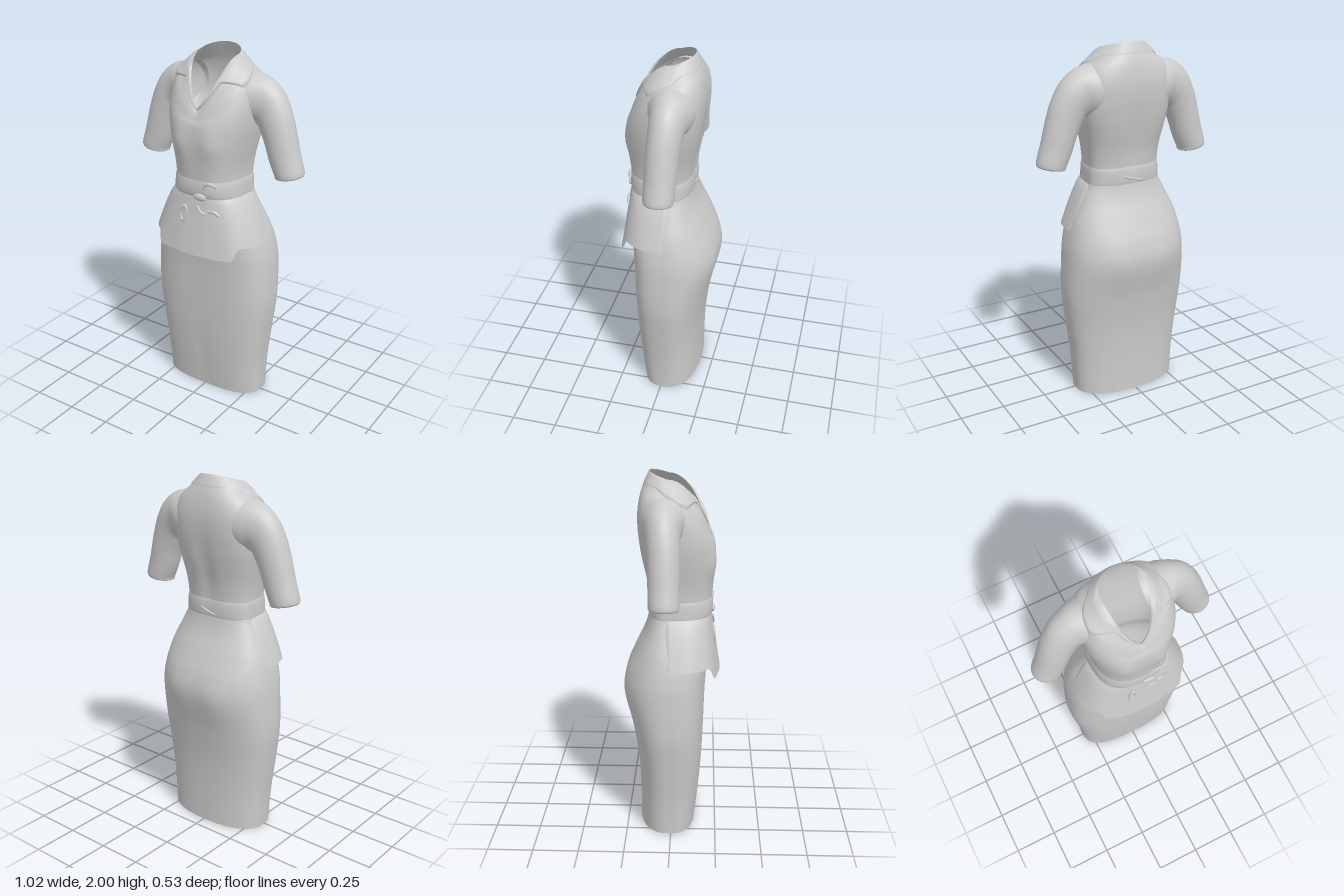
import * as THREE from 'three';

const { smoothstep, lerp } = THREE.MathUtils;
const spow = (a, e) => Math.sign(a) * Math.pow(Math.abs(a), e);
const material = new THREE.MeshStandardMaterial({ color: 0xcccccc, side: THREE.DoubleSide });

// Smooth surface from a rule f(u, v) -> Vector3, u and v in 0..1; closed joins the u seam
function sheet(name, f, nu, nv, closed = false) {
  const cols = closed ? nu : nu + 1, pos = [], idx = [];
  for (let j = 0; j <= nv; j++)
    for (let i = 0; i < cols; i++) pos.push(...f(i / nu, j / nv).toArray());
  for (let j = 0; j < nv; j++)
    for (let i = 0; i < nu; i++) {
      const a = j * cols + i, b = j * cols + (i + 1) % cols, c = a + cols, d = b + cols;
      idx.push(a, c, b, b, c, d);
    }
  const g = new THREE.BufferGeometry();
  g.setAttribute('position', new THREE.Float32BufferAttribute(pos, 3));
  g.setIndex(idx);
  g.computeVertexNormals();
  const mesh = new THREE.Mesh(g, material);
  mesh.name = name;
  return mesh;
}

// Catmull-Rom blend of every column of a table at row position r
function sampleRows(rows, r) {
  const n = rows.length - 1, i = Math.min(Math.floor(r), n - 1), t = r - i;
  const [a, b, c, d] = [i - 1, i, i + 1, i + 2].map(k => rows[Math.max(0, Math.min(n, k))]);
  return b.map((_, k) => b[k] + 0.5 * t * (c[k] - a[k]
    + t * (2 * a[k] - 5 * b[k] + 4 * c[k] - d[k] + t * (3 * (b[k] - c[k]) + d[k] - a[k]))));
}

// Dress cross-sections: half width, front z, back z, then height (side, front, back)
const level = (y, w, f, b) => [w, f, b, y, y, y];
const bodyRows = [
  level(0.00, 0.304, 0.130, -0.180),
  level(0.20, 0.315, 0.152, -0.181),
  level(0.40, 0.338, 0.168, -0.192),
  level(0.60, 0.359, 0.176, -0.222),
  level(0.80, 0.352, 0.182, -0.264),
  level(0.92, 0.338, 0.190, -0.250),
  level(1.04, 0.305, 0.200, -0.200),
  level(1.15, 0.252, 0.206, -0.150),
  level(1.24, 0.207, 0.214, -0.128),
  level(1.32, 0.200, 0.216, -0.127),
  level(1.42, 0.209, 0.224, -0.138),
  level(1.52, 0.228, 0.230, -0.158),
  level(1.60, 0.242, 0.228, -0.171),
  [0.250, 0.222, -0.182, 1.69, 1.635, 1.70],
  [0.248, 0.212, -0.183, 1.78, 1.655, 1.79],
  [0.222, 0.203, -0.171, 1.865, 1.675, 1.87],
  [0.170, 0.193, -0.152, 1.912, 1.690, 1.93],
  [0.115, 0.176, -0.120, 1.965, 1.705, 1.997],
];
const LAST = bodyRows.length - 1;

function bodyPoint(theta, r) {
  const [w, front, back, yS, yF, yB] = sampleRows(bodyRows, r);
  const c = Math.cos(theta), s = Math.sin(theta);
  // squarish hips and chest, round neck
  const e = s > 0
    ? lerp(lerp(0.68, 0.78, smoothstep(r, 6, 10)), 1, smoothstep(r, 12, 16))
    : lerp(lerp(0.87, 0.66, smoothstep(r, 9, 13)), 1, smoothstep(r, 14, 17));
  const x = w * spow(c, e), zc = -0.02;
  let z = zc + (s > 0 ? front - zc : zc - back) * spow(s, e);
  // V-shaped dip at the front of the neckline, gentle rise to the back
  const dip = 0.5 * s * s + 0.5 * (1 - Math.abs(c));
  const y = s > 0 ? lerp(yS, yF, dip) : lerp(yS, yB, -s);
  // bust, seat and soft centre fold of the skirt
  const bump = (cx, cy, rx, ry) => Math.exp(-(((Math.abs(x) - cx) / rx) ** 2) - ((y - cy) / ry) ** 2);
  if (s > 0) z += 0.014 * bump(0.1, 1.53, 0.06, 0.09) - 0.006 * bump(0, 0.2, 0.02, 0.2);
  else z += 0.012 * bump(0, 1.5, 0.05, 0.2) - 0.006 * bump(0.13, 0.8, 0.08, 0.12);
  return new THREE.Vector3(x, y, z);
}

// Point lifted off the dress along its normal
function raised(theta, r, h) {
  const p = bodyPoint(theta, r), d = 0.01, r2 = r + d > LAST ? r - d : r + d;
  const du = bodyPoint(theta + d, r).sub(bodyPoint(theta - d, r));
  const dv = bodyPoint(theta, r2).sub(p).multiplyScalar(r2 > r ? 1 : -1);
  return p.add(dv.cross(du).normalize().multiplyScalar(h));
}

// Sleeve rings from inside the cuff up to the shoulder: outer x y, inner x y, half depth, centre z
const sleeveRows = [
  [0.480, 1.420, 0.360, 1.395, 0.058, -0.030],
  [0.488, 1.380, 0.366, 1.357, 0.064, -0.030],
  [0.503, 1.372, 0.355, 1.348, 0.072, -0.030],
  [0.509, 1.395, 0.350, 1.366, 0.079, -0.030],
  [0.482, 1.490, 0.320, 1.430, 0.081, -0.031],
  [0.454, 1.600, 0.288, 1.520, 0.084, -0.033],
  [0.421, 1.705, 0.260, 1.580, 0.086, -0.036],
  [0.370, 1.800, 0.243, 1.610, 0.089, -0.040],
  [0.300, 1.860, 0.222, 1.615, 0.099, -0.041],
  [0.235, 1.882, 0.195, 1.610, 0.119, -0.038],
  [0.165, 1.895, 0.150, 1.610, 0.132, -0.030],
];
function sleeve(side) {
  return sheet(side > 0 ? 'leftSleeve' : 'rightSleeve', (u, v) => {
    const [ox, oy, ix, iy, h, z] = sampleRows(sleeveRows, v * (sleeveRows.length - 1));
    const a = u * Math.PI * 2, k = 0.5 + 0.5 * Math.cos(a);
    return new THREE.Vector3(side * lerp(ix, ox, k), lerp(iy, oy, k), z + side * h * Math.sin(a));
  }, 44, 60, true);
}

// Collar half: narrow along the V, wide at the pointed corner, close-fitting behind the neck
function collar(side) {
  return sheet(side > 0 ? 'leftCollar' : 'rightCollar', (u, v) => {
    const a = lerp(-Math.PI / 2, Math.PI / 2, u);
    const depth = a < 0.42
      ? lerp(0.9, 2.2, smoothstep(a, -0.5, 0.42))
      : lerp(2.2, 0.6, smoothstep(a, 0.4, 0.8));
    const lift = lerp(0.002, 0.011, smoothstep(a, -0.8, 0.2));
    const p = raised(a, LAST - depth * (1 - v), lift * Math.min(1, (1 - v) * 4, v * 8 + 0.2));
    return p.setX(p.x * side);
  }, 72, 16);
}

// Flared overskirt panel, open at the back, with rounded front corners
function peplumPoint(u, v) {
  const a = lerp(-0.33, Math.PI + 0.33, u), c = Math.cos(a), s = Math.sin(a);
  const hem = 0.912 + 0.07 * smoothstep(Math.abs(c - 0.03), 0.53, 0.72) + 0.07 * smoothstep(-s, 0.05, 0.3);
  const y = lerp(hem, 1.235, v), k = (1.235 - y) / 0.325;
  const w = (0.207 + 0.147 * Math.pow(k, 0.75)) * (1 - 0.05 * smoothstep(-s, 0.05, 0.33));
  const z = s > 0 ? 0.206 + 0.048 * k : 0.125;
  return new THREE.Vector3(w * spow(c, 0.74), y, 0.008 + z * spow(s, 0.74)
    + 0.003 * Math.sin(a * 9) * k * Math.max(s, 0));
}

// Small cloth roll following a few points
function roll(name, points, radius) {
  const curve = new THREE.CatmullRomCurve3(points.map(p => new THREE.Vector3(...p)));
  const mesh = new THREE.Mesh(new THREE.TubeGeometry(curve, 24, radius, 10), material);
  mesh.name = name;
  return mesh;
}

export function createModel() {
  const group = new THREE.Group();
  group.name = 'dress';
  const TAU = Math.PI * 2;

  group.add(sheet('dressBody', (u, v) => bodyPoint(u * TAU, v * LAST), 112, 136, true));
  for (const side of [1, -1]) group.add(sleeve(side), collar(side));

  // Low waist belt with soft edges
  group.add(sheet('belt', (u, v) =>
    raised(u * TAU, lerp(7.95, 9.1, v), 0.007 * Math.pow(Math.sin(Math.PI * v), 0.6)), 112, 14, true));

  group.add(sheet('peplum', peplumPoint, 112, 24));

  // Hem of the skirt, turned inwards
  group.add(sheet('skirtHem', (u, v) => {
    const p = bodyPoint(u * TAU, 0);
    return new THREE.Vector3(p.x * (1 - 0.02 * v), p.y + 0.02 * v * v, p.z * (1 - 0.03 * v));
  }, 112, 4, true));

  // Small knot, loop and folds of the tied belt
  const knot = new THREE.Mesh(new THREE.SphereGeometry(1, 20, 14), material);
  knot.name = 'beltKnot';
  knot.scale.set(0.04, 0.02, 0.012);
  knot.position.set(0.035, 1.24, 0.221);
  const loop = new THREE.Mesh(new THREE.TorusGeometry(0.03, 0.009, 10, 32), material);
  loop.name = 'beltLoop';
  loop.scale.set(0.6, 1.35, 0.8);
  loop.position.set(-0.065, 1.13, 0.23);
  loop.rotation.set(-0.12, 0, -0.15);
  group.add(knot, loop);
  group.add(roll('beltFold', [[0.05, 1.29, 0.217], [0.08, 1.322, 0.215], [0.13, 1.312, 0.202]], 0.008));
  group.add(roll('shortTail', [[0.02, 1.185, 0.221], [0.04, 1.16, 0.225], [0.07, 1.15, 0.225]], 0.009));
  group.add(roll('longTail', [[0.09, 1.17, 0.22], [0.12, 1.172, 0.216], [0.15, 1.155, 0.21]], 0.009));
  group.add(roll('backFold', [[-0.05, 1.25, -0.130], [0, 1.262, -0.131], [0.05, 1.28, -0.129]], 0.006));
  return group;
}
